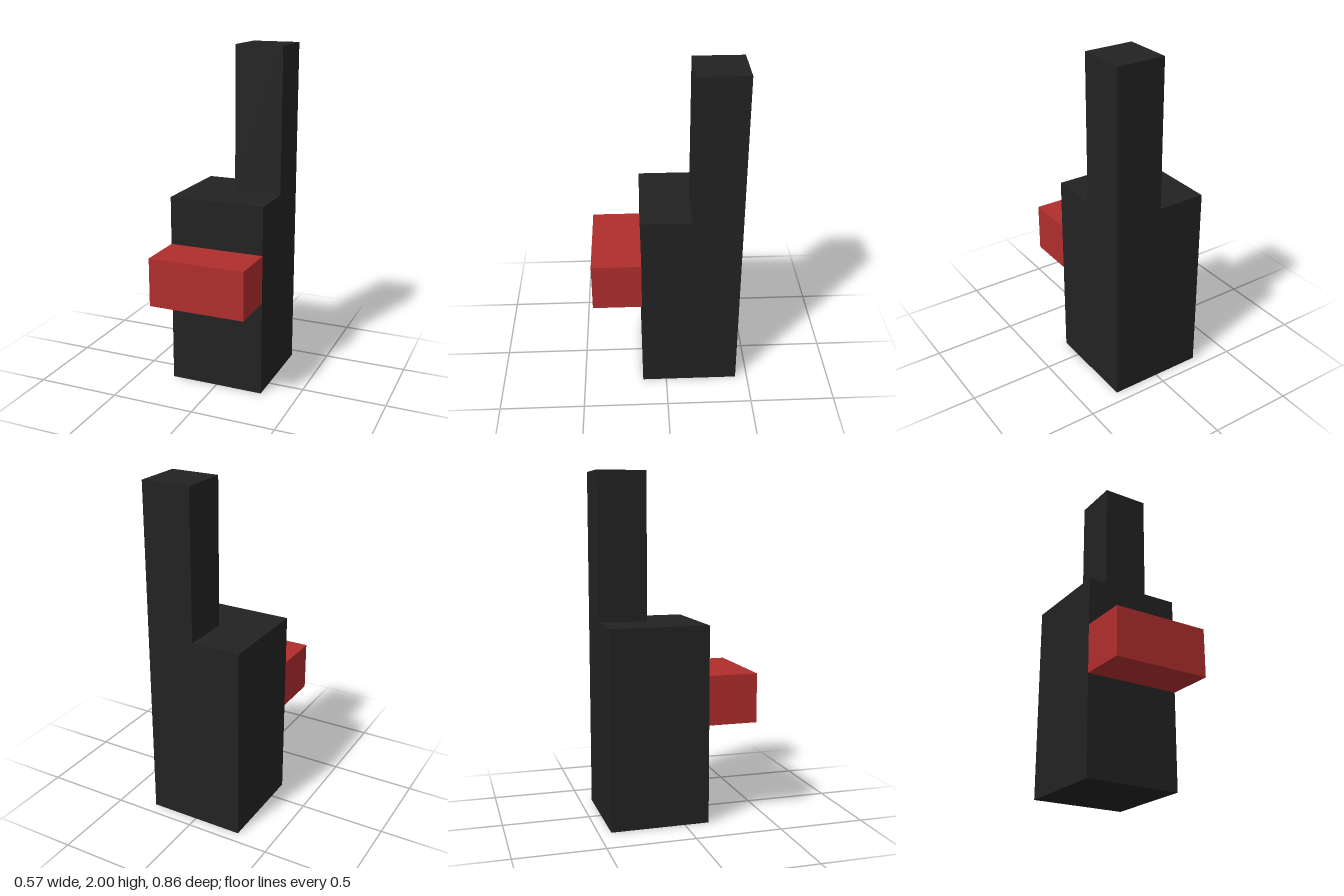
import * as THREE from 'three';

// The whole model sits on a block grid, seven units tall
const U = 2 / 7;

export function createModel() {
  const model = new THREE.Group();
  model.name = 'blockRadio';

  const black = new THREE.MeshStandardMaterial({ color: 0x222222 });
  black.name = 'black';
  const red = new THREE.MeshStandardMaterial({ color: 0xb02d2d });
  red.name = 'red';

  // Box given by its size and its minimum corner, in grid units
  function block(name, material, [w, h, d], [x, y, z]) {
    const mesh = new THREE.Mesh(new THREE.BoxGeometry(w * U, h * U, d * U), material);
    mesh.name = name;
    mesh.position.set((x + w / 2) * U, (y + h / 2) * U, (z + d / 2) * U);
    model.add(mesh);
  }

  // Main body
  block('body', black, [2, 4, 2], [-1, 0, -1.5]);
  // Tall post on the back left corner
  block('antenna', black, [1, 3, 1], [0, 4, -1.5]);
  // Bar across the front
  block('frontBar', red, [2, 1, 1], [-1, 2, 0.5]);

  return model;
}
